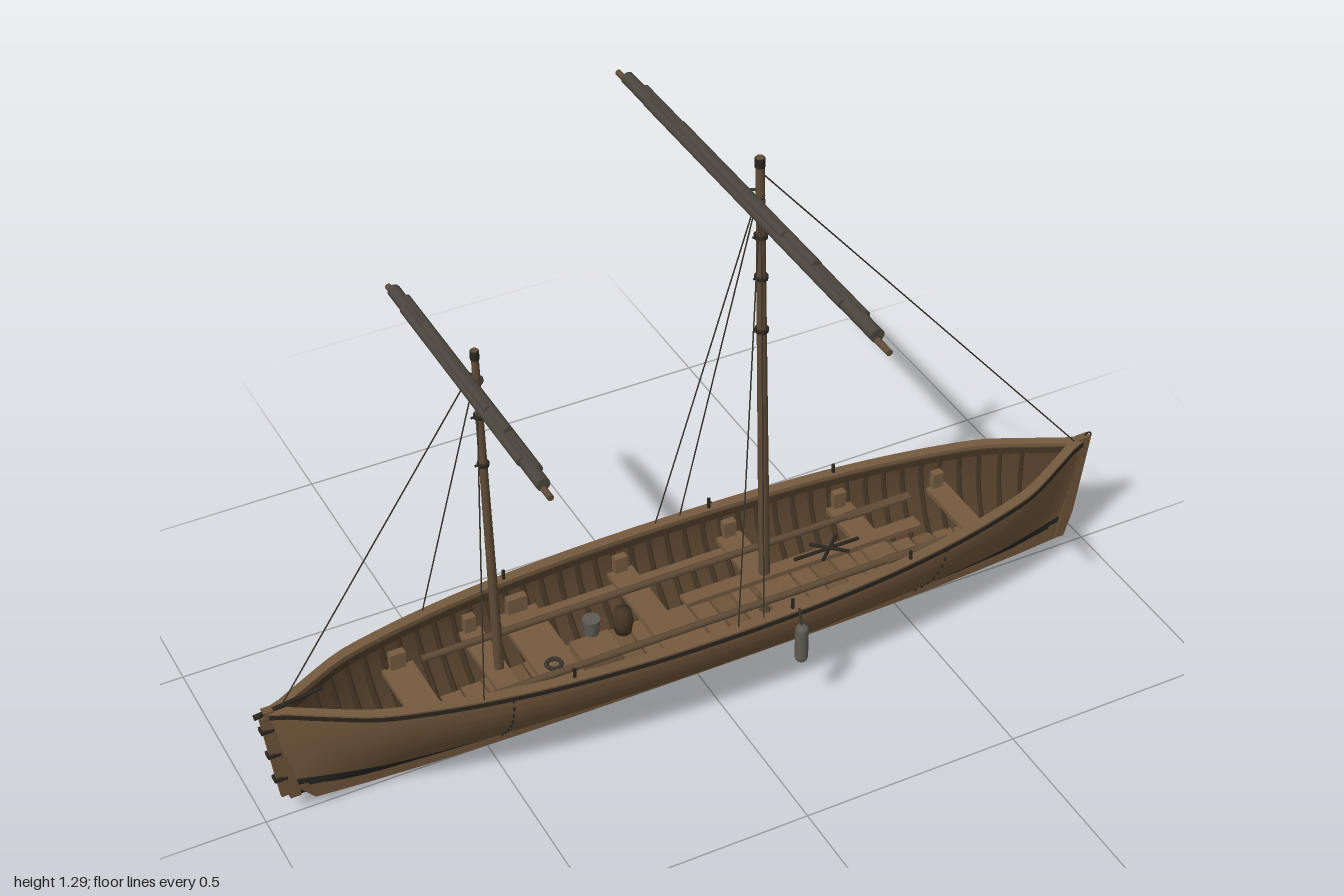
import * as THREE from 'three';

const mat = (name, color, double = false) => {
  const m = new THREE.MeshStandardMaterial({ color });
  m.name = name;
  if (double) m.side = THREE.DoubleSide;
  return m;
};

// ---- hull lines: u runs stern (-1) to bow (+1), t runs keel (0) to sheer (1)
const beam = new THREE.SplineCurve(
  [.2, .199, .196, .19, .182, .17, .154, .133, .105, .055, .006].map((b, i) => new THREE.Vector2(i / 10, b)));
const sheer = u => 0.272 + 0.02 * u * u;
const keelLine = u => 0.02 + 0.028 * u ** 4;
const halfWidth = (u, t) => beam.getPoint(Math.min(1, Math.abs(u))).y * Math.sin(Math.PI * t / 2) ** 0.95;
const hullPoint = (u, t, inset = 0) => new THREE.Vector3(
  u * (0.94 + 0.032 * t),
  keelLine(u) + (sheer(u) - keelLine(u)) * t,
  Math.max(0, halfWidth(u, t) - inset));
const widthAt = (x, y, inset = 0.012) => {
  const u = x / 0.965;
  const t = (y - keelLine(u)) / (sheer(u) - keelLine(u));
  return Math.max(0.003, halfWidth(u, Math.min(1, t)) - inset);
};

// Surface from a rule fn(a, b), a and b in 0..1
function grid(na, nb, fn, flip = false) {
  const pos = [], idx = [];
  for (let i = 0; i <= na; i++)
    for (let j = 0; j <= nb; j++) pos.push(...fn(i / na, j / nb).toArray());
  for (let i = 0; i < na; i++)
    for (let j = 0; j < nb; j++) {
      const a = i * (nb + 1) + j, b = a + nb + 1, c = b + 1, d = a + 1;
      idx.push(...(flip ? [a, c, b, a, d, c] : [a, b, c, a, c, d]));
    }
  const g = new THREE.BufferGeometry();
  g.setAttribute('position', new THREE.Float32BufferAttribute(pos, 3));
  g.setIndex(idx);
  g.computeVertexNormals();
  return g;
}

export function createModel() {
  const wood = mat('hull wood', 0x6e5439);
  const inner = mat('inner planking', 0x54402c, true);
  const frameWood = mat('frame wood', 0x453524);
  const boards = mat('board wood', 0x745a3f);
  const sparWood = mat('mast wood', 0x5f4b36);
  const dark = mat('dark trim', 0x2a241d);
  const paint = mat('bottom paint', 0x262523);
  const canvas = mat('furled sail', 0x4a453d);
  const fenderGrey = mat('fender grey', 0x5d5b52);
  const rope = mat('rope', 0x39342c);

  const root = new THREE.Group();
  root.name = 'sailingBoat';
  const add = (name, geo, material, x = 0, y = 0, z = 0, parent = root) => {
    const m = new THREE.Mesh(geo, material);
    m.name = name;
    m.position.set(x, y, z);
    parent.add(m);
    return m;
  };
  const box = (name, m, w, h, d, x, y, z) => add(name, new THREE.BoxGeometry(w, h, d), m, x, y, z);
  // Round bar between two points
  const bar = (name, m, p, q, r0, r1 = r0, sides = 8) => {
    const a = new THREE.Vector3(...p), b = new THREE.Vector3(...q), dir = b.clone().sub(a);
    const mesh = add(name, new THREE.CylinderGeometry(r1, r0, dir.length(), sides), m);
    mesh.position.copy(a).add(b).multiplyScalar(0.5);
    mesh.quaternion.setFromUnitVectors(new THREE.Vector3(0, 1, 0), dir.normalize());
    return mesh;
  };
  // Flat plate cut in the side profile, centred on z = 0
  const plate = (name, m, pts, thick) => add(name, new THREE.ExtrudeGeometry(
    new THREE.Shape(pts.map(p => new THREE.Vector2(...p))), { depth: thick, bevelEnabled: false }), m, 0, 0, -thick / 2);

  // Lapped strakes, inner skin, gunwale and rubbing rail on both sides
  const strakes = 10, lap = 0.0025;
  for (const s of [1, -1]) {
    const side = v => (v.z *= s, v);
    for (let k = 0; k < strakes; k++) {
      const low = k / strakes;
      const skin = (a, b) => side(hullPoint(2 * a - 1, low + b / strakes, k ? -lap * (1 - b) : 0));
      add('strake', grid(56, 2, skin, s < 0), k < 2 ? paint : wood);
      if (k) add('strakeLap', grid(56, 1, (a, b) => side(hullPoint(2 * a - 1, low, -lap * b)), s < 0), dark);
    }
    add('innerSkin', grid(56, 10, (a, b) => side(hullPoint(1.96 * a - 0.98, 0.04 + 0.96 * b, 0.01)), s > 0), inner);
    const rail = (name, m, corners) => {
      const g = grid(56, 4, (a, b) => {
        const [dz, dy] = corners[Math.round(b * 4) % 4];
        const p = hullPoint(2 * a - 1, 1);
        p.z = Math.max(0, p.z + dz);
        p.y += dy;
        return side(p);
      }, s < 0).toNonIndexed();
      g.computeVertexNormals();
      add(name, g, m);
    };
    rail('gunwale', boards, [[-0.02, -0.004], [0.004, -0.004], [0.004, 0.005], [-0.02, 0.005]]);
    rail('rubbingRail', dark, [[-0.002, -0.009], [0.006, -0.009], [0.006, 0.001], [-0.002, 0.001]]);
    rail('inwale', frameWood, [[-0.024, -0.02], [-0.008, -0.02], [-0.008, -0.004], [-0.024, -0.004]]);

    // Butt rivets
    for (const u of [-0.52, 0.54])
      for (let k = 2; k < 10; k++) {
        const p = hullPoint(u, (k + 0.5) / 10, -0.001);
        box('rivet', dark, 0.004, 0.01, 0.004, p.x, p.y, s * p.z);
      }
    // Thole pins
    for (const x of [-0.37, 0.13, 0.43])
      bar('tholePin', dark, [x, 0.265, s * (widthAt(x, 0.27) + 0.003)], [x, 0.302, s * (widthAt(x, 0.27) + 0.003)], 0.004);
    // Fender on a short lanyard
    add('fender', new THREE.CapsuleGeometry(0.0145, 0.072, 6, 12), fenderGrey, 0.14, 0.195, s * 0.214);
    bar('fenderLanyard', rope, [0.14, 0.24, s * 0.214], [0.14, 0.28, s * 0.2], 0.003);
    // Shrouds
    for (const x of [0, 0.06]) bar('mainShroud', rope, [0.143, 1.22, 0], [x, 0.28, s * 0.192], 0.0016, 0.0016, 5);
    bar('mizzenShroud', rope, [-0.478, 0.98, 0], [-0.565, 0.28, s * 0.157], 0.0016, 0.0016, 5);
    // Stowed oars
    bar('oarShaft', sparWood, [-0.6, 0.218, s * 0.085], [0.5, 0.218, s * 0.085], 0.008);
    box('oarBlade', sparWood, 0.16, 0.006, 0.022, 0.5, 0.218, s * 0.085);
  }

  // Frames bent across the inside
  for (let i = 0; i < 40; i++) {
    const u = -0.88 + i * 1.76 / 39, pts = [];
    for (let k = -8; k <= 8; k++) {
      const p = hullPoint(u, 0.06 + 0.9 * Math.abs(k) / 8, 0.013);
      if (k < 0) p.z *= -1;
      pts.push(p);
    }
    add('frame', new THREE.TubeGeometry(new THREE.CatmullRomCurve3(pts), 20, 0.0065, 4), frameWood);
  }

  // Backbone: keel, stem, sternpost and rudder
  const keel = [[0.945, 0.075], [-0.93, 0.075]];
  for (let i = 0; i <= 16; i++) {
    const x = -0.89 + i * 1.83 / 16;
    keel.push([x, 0.034 * Math.abs(x / 0.94) ** 3]);
  }
  plate('keel', wood, keel, 0.014);
  plate('stem', wood, [[0.92, 0.035], [0.942, 0.034], [0.962, 0.1], [0.993, 0.302], [0.962, 0.302]], 0.018);
  plate('sternpost', wood, [[-0.92, 0.05], [-0.96, 0.302], [-0.982, 0.302], [-0.945, 0.05]], 0.018);
  plate('rudder', wood, [[-0.942, 0.058], [-0.974, 0.285], [-0.99, 0.285], [-0.962, 0.058]], 0.01);
  for (const y of [0.11, 0.18, 0.25]) box('rudderHinge', dark, 0.028, 0.008, 0.02, -0.947 - y * 0.12, y, 0);
  bar('tiller', dark, [-1, 0.291, 0], [-0.85, 0.312, 0], 0.006, 0.004);
  add('bowRing', new THREE.TorusGeometry(0.008, 0.002, 6, 12), dark, 0.99, 0.3, 0);

  // Bottom boards, laid crosswise with narrow gaps
  for (let i = 0; i < 30; i++) {
    const x = -0.75 + i * 0.05;
    box('bottomBoard', i % 5 === 2 ? wood : boards, 0.044, 0.008, 2 * widthAt(x, 0.11, 0.016), x, 0.11, 0);
  }
  // Thwarts with knees
  for (const [x, w] of [[-0.65, 0.07], [-0.47, 0.05], [-0.355, 0.09], [-0.1, 0.06], [0.165, 0.06], [0.43, 0.06], [0.66, 0.05]]) {
    const half = widthAt(Math.abs(x) + w / 2, 0.2);
    box('thwart', boards, w, 0.012, 2 * half, x, 0.2, 0);
    for (const s of [1, -1]) box('thwartKnee', boards, w * 0.5, 0.04, 0.018, x, 0.225, s * (half - 0.002));
  }
  for (const z of [-0.13, 0.13]) box('sideBench', boards, 0.55, 0.008, 0.03, -0.12, 0.188, z);

  // Loose gear
  box('centrePlank', boards, 0.58, 0.012, 0.034, 0.26, 0.214, 0);
  box('gearChest', boards, 0.09, 0.06, 0.07, -0.24, 0.145, 0.0);
  add('cask', new THREE.LatheGeometry([[0, 0], [0.018, 0], [0.023, 0.03], [0.018, 0.06], [0, 0.06]]
    .map(p => new THREE.Vector2(...p)), 14), frameWood, -0.165, 0.17, -0.02);
  add('bucket', new THREE.CylinderGeometry(0.02, 0.016, 0.04, 14), fenderGrey, -0.23, 0.195, -0.04);
  for (const s of [1, -1]) bar('anchorArm', dark, [0.295, 0.226, -0.03 * s], [0.36, 0.226, 0.03 * s], 0.004);
  bar('anchorShank', dark, [0.24, 0.226, 0], [0.4, 0.226, 0], 0.004);
  for (const x of [-0.36, 0.59])
    add('ropeCoil', new THREE.TorusGeometry(0.016, 0.005, 6, 16).rotateX(Math.PI / 2), rope, x, x < 0 ? 0.212 : 0.12, 0.05);

  // Masts, bands, yards with furled sails
  function rig(name, foot, top, r, yardX, yardY, half, bands, fat) {
    bar(name + 'Mast', sparWood, [foot[0], foot[1], 0], [top[0], top[1], 0], r, r * 0.7, 12);
    add(name + 'MastCap', new THREE.CylinderGeometry(r * 0.85, r * 0.85, 0.02, 10), dark, top[0], top[1] - 0.012, 0);
    const mastX = y => foot[0] + (top[0] - foot[0]) * (y - foot[1]) / (top[1] - foot[1]);
    for (const y of bands) {
      add(name + 'MastBand', new THREE.CylinderGeometry(r * 1.15, r * 1.15, 0.008, 10), dark, mastX(y), y, 0);
      bar(name + 'Cleat', dark, [mastX(y) - 0.018, y, 0], [mastX(y) + 0.012, y, 0], 0.0025);
    }
    // length share, dx, dy, radius of each roll
    for (const [share, dx, dy, rad] of [[1, 0, -0.013, 0.007], [0.92, 0, -0.003, 0.015], [0.81, 0.009, 0, 0.011],
      [0.72, -0.009, 0.001, 0.011], [0.5, 0.003, 0.009, 0.012], [0.3, -0.003, 0.011, 0.011]])
      bar(name + (share === 1 ? 'Yard' : 'FurledSail'), share === 1 ? sparWood : canvas,
        [yardX + dx * fat, yardY + dy * fat, -half * share], [yardX + dx * fat, yardY + dy * fat, half * share], rad * fat, rad * fat, 10);
    add(name + 'YardParrel', new THREE.TorusGeometry(0.022, 0.003, 6, 14).rotateX(Math.PI / 2), rope, (yardX + mastX(yardY)) / 2, yardY, 0);
    bar(name + 'Halyard', rope, [mastX(yardY) + 0.008, yardY, -0.004], [foot[0] + 0.018, 0.24, -0.03], 0.0016, 0.0016, 5);
  }
  rig('main', [0.17, 0.05], [0.14, 1.285], 0.013, 0.108, 1.2, 0.56, [0.87, 1.0, 1.1], 1);
  rig('mizzen', [-0.46, 0.05], [-0.48, 1.03], 0.011, -0.502, 0.96, 0.385, [0.75, 0.87], 0.95);
  bar('forestay', rope, [0.142, 1.25, 0], [0.955, 0.295, 0], 0.0016, 0.0016, 5);
  bar('backstay', rope, [-0.495, 0.97, 0], [-0.94, 0.3, 0], 0.0016, 0.0016, 5);
  return root;
}
